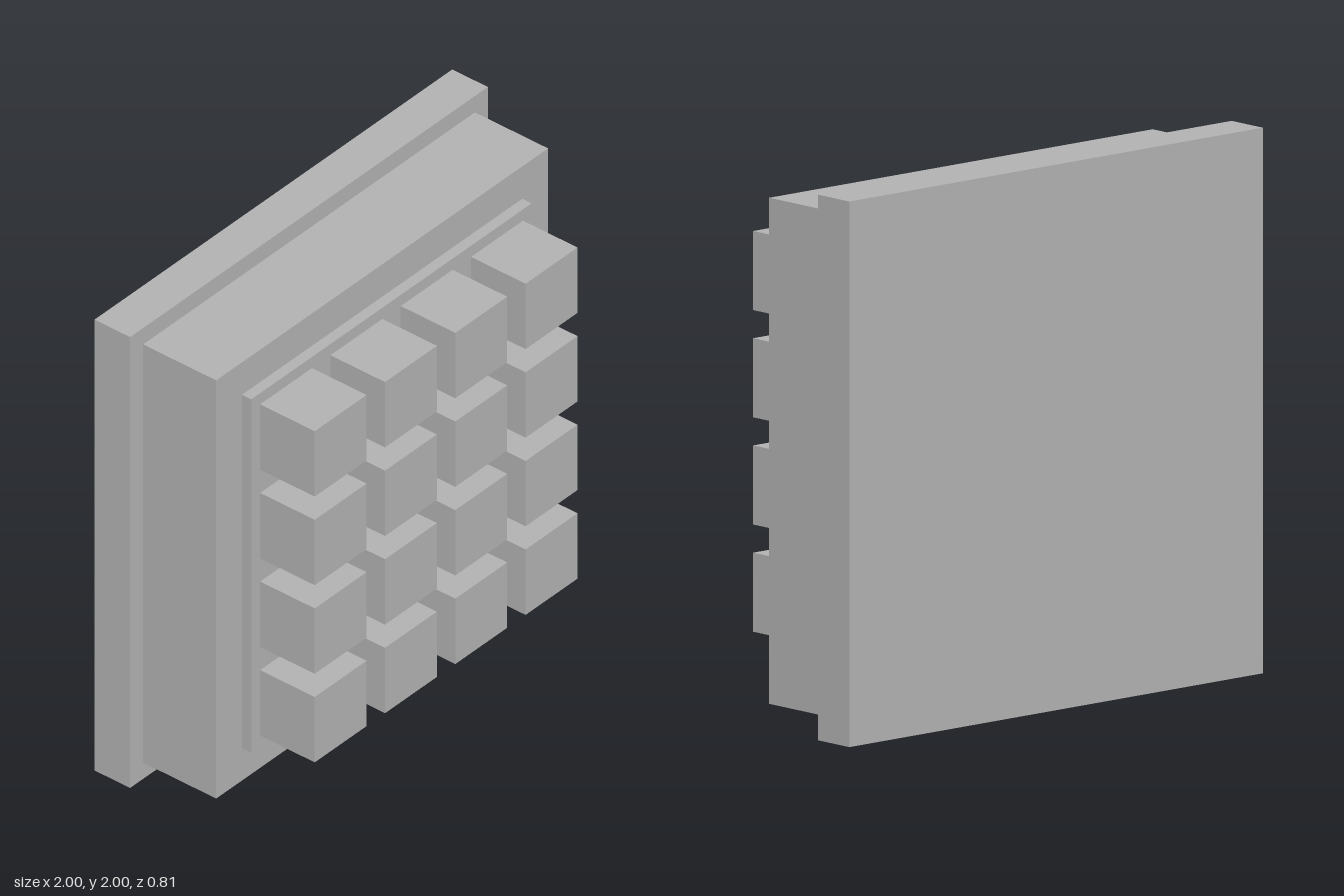
import * as THREE from 'three';

export function createModel() {
  const model = new THREE.Group();
  model.name = 'keypad';
  const grey = new THREE.MeshStandardMaterial({ color: 0xb2b2b2 });
  grey.name = 'grey';

  // Square block of a given width, centred on (x, y), spanning back to front in z
  function block(name, size, back, front, x = 0, y = 1, parent = model) {
    const mesh = new THREE.Mesh(new THREE.BoxGeometry(size, size, front - back), grey);
    mesh.position.set(x, y, (back + front) / 2);
    mesh.name = name;
    parent.add(mesh);
  }

  // Stepped body, from back to front
  block('backPlate', 2, -0.405, -0.238);
  block('housing', 1.855, -0.238, 0.105);
  block('keyPanel', 1.568, 0.105, 0.149);

  // Four by four grid of keys
  const keys = new THREE.Group();
  keys.name = 'keys';
  model.add(keys);
  const pitch = 0.393;
  for (let row = 0; row < 4; row++) {
    for (let col = 0; col < 4; col++) {
      block(`key${row * 4 + col + 1}`, 0.29, 0.149, 0.405,
        (col - 1.5) * pitch, 1 + (1.5 - row) * pitch, keys);
    }
  }
  return model;
}
